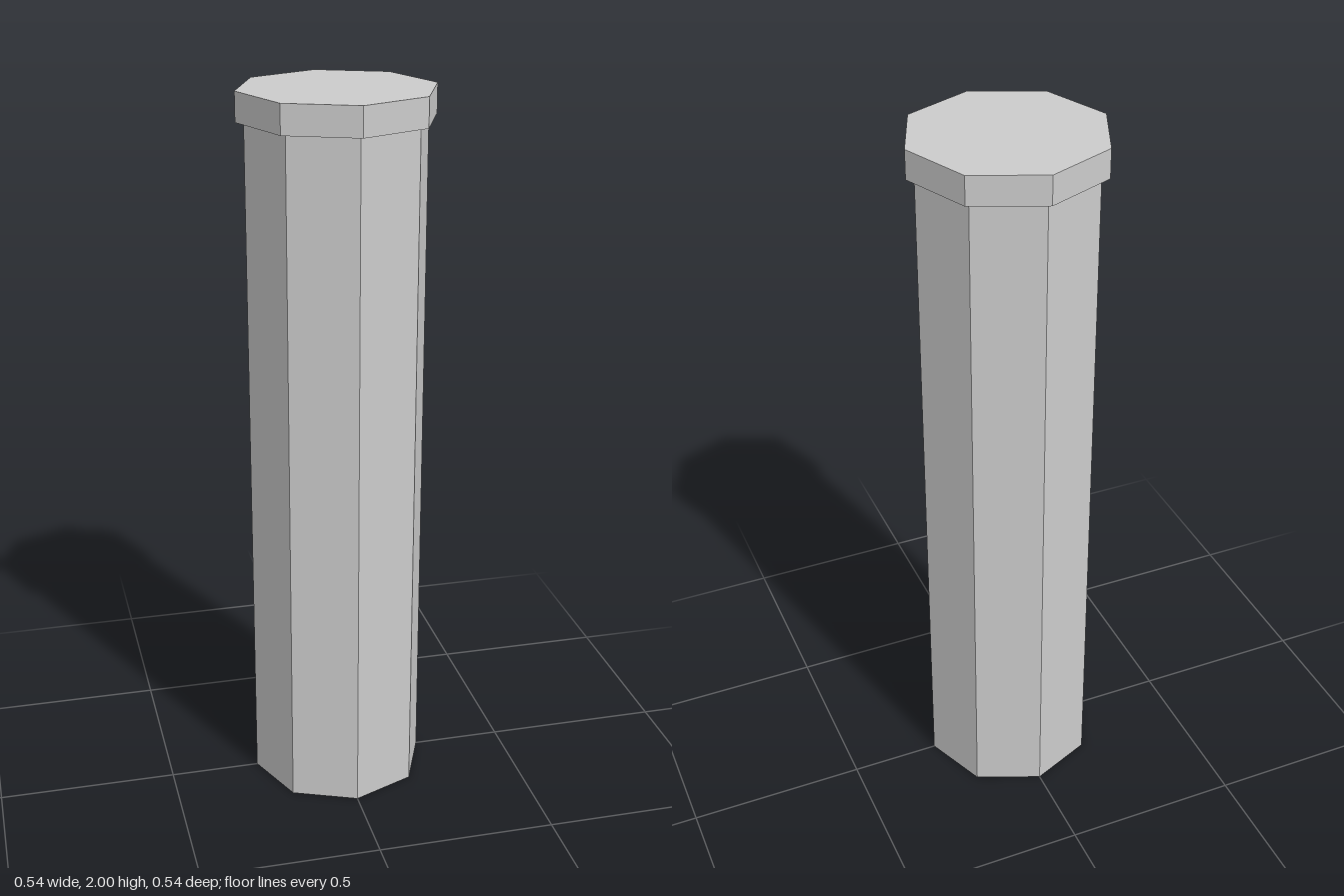
import * as THREE from 'three';

const SIDES = 8;
const CAP_BASE = 1.92;

export function createModel() {
  const model = new THREE.Group();
  model.name = 'cappedPost';
  const material = new THREE.MeshStandardMaterial({ color: 0xcccccc, flatShading: true });

  // Upright eight-sided prism with corners on the x and z axes
  const addPrism = (name, radius, bottom, top) => {
    const geometry = new THREE.CylinderGeometry(radius, radius, top - bottom, SIDES);
    const mesh = new THREE.Mesh(geometry, material);
    mesh.name = name;
    mesh.position.y = (bottom + top) / 2;
    model.add(mesh);
  };

  // Long shaft, then the slightly wider cap on its top
  addPrism('shaft', 0.247, 0, CAP_BASE);
  addPrism('cap', 0.269, CAP_BASE, 2);

  return model;
}
